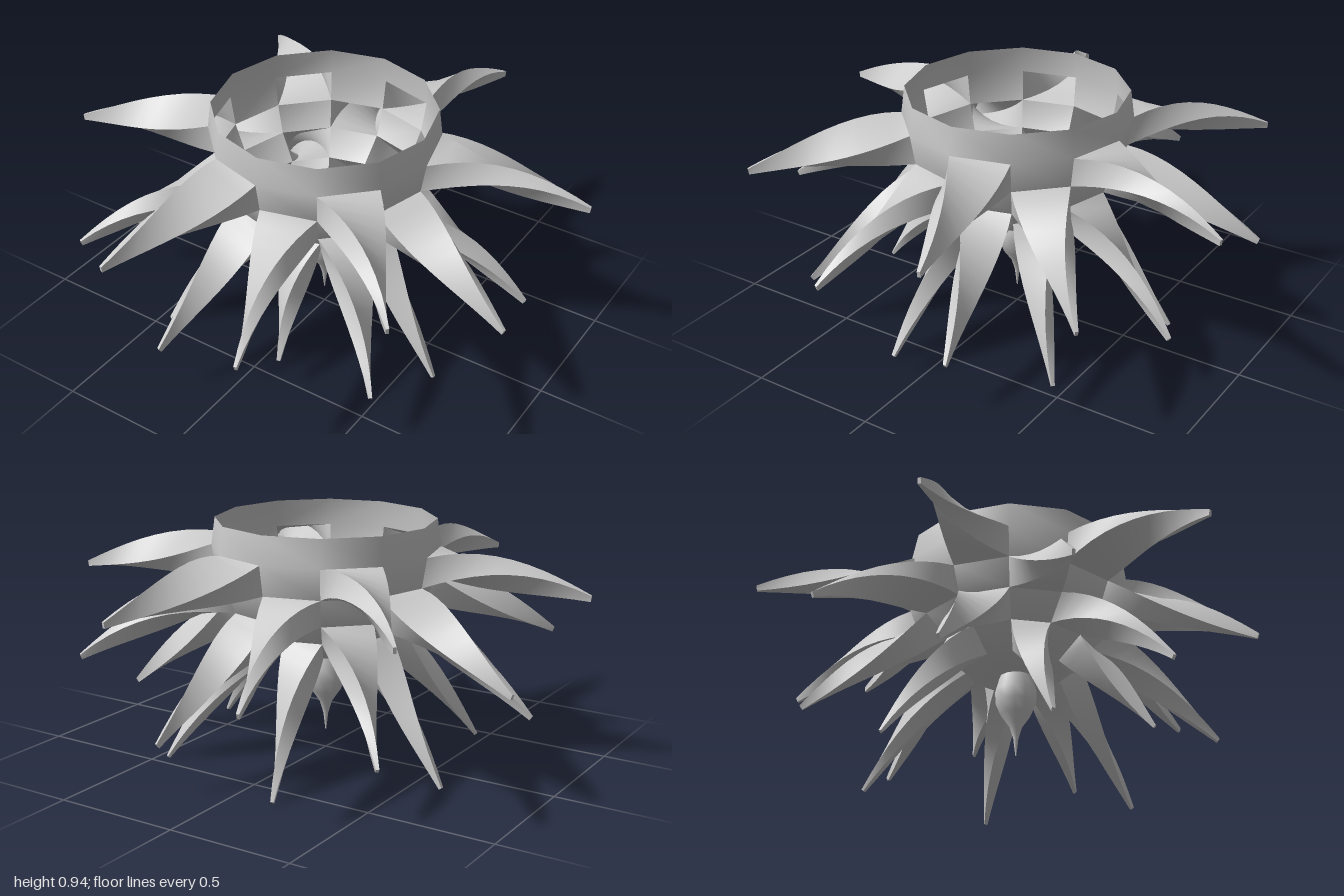
import * as THREE from 'three';

const SIDES = 12;
const STEP = (Math.PI * 2) / SIDES;
// Bowl profile from rim to bottom: [radius, height]
const PROFILE = [[0.435, 0.95], [0.45, 0.84], [0.43, 0.72], [0.39, 0.61], [0.30, 0.52], [0.2, 0.435], [0.065, 0.41]];
// Spike rows: bowl row they grow from, tip radius and height, which sides they use, twist
const ROWS = [
  { band: 1, tip: [1.035, 0.7], parity: 0, twist: -Math.PI / 2, lift: 0.05 },
  { band: 2, tip: [0.963, 0.445], parity: 1, twist: Math.PI / 2, lift: 0.06 },
  { band: 3, tip: [0.83, 0.21], parity: 0, twist: -Math.PI / 2, lift: 0.06 },
  { band: 4, tip: [0.64, 0.01], parity: 1, twist: Math.PI / 2, lift: 0.05 },
];
const SHORT_SIDE = 9; // one spike of the lowest row is shorter

const material = new THREE.MeshStandardMaterial({ color: 0xcccccc, side: THREE.DoubleSide });

const polar = (r, y, a) => new THREE.Vector3(r * Math.cos(a), y, -r * Math.sin(a));
const ringPoint = (level, side) => polar(PROFILE[level][0], PROFILE[level][1], side * STEP);

function toGeometry(points, index) {
  const g = new THREE.BufferGeometry().setFromPoints(points);
  g.setIndex(index);
  g.computeVertexNormals();
  return g;
}

// Faceted bowl wall, left open wherever a spike grows out of it
function bowlGeometry() {
  const points = [], index = [];
  PROFILE.forEach((_, level) => {
    for (let s = 0; s < SIDES; s++) points.push(ringPoint(level, s));
  });
  for (let band = 0; band < PROFILE.length - 1; band++) {
    const row = ROWS.find((r) => r.band === band);
    for (let s = 0; s < SIDES; s++) {
      if (row && s % 2 === row.parity) continue;
      const n = (s + 1) % SIDES;
      const a = band * SIDES + s, b = a + SIDES;
      const d = band * SIDES + n, c = d + SIDES;
      index.push(a, b, c, a, c, d);
    }
  }
  return toGeometry(points, index);
}

// Four-sided spike that starts on a bowl panel, droops, twists and tapers
function spikeGeometry(row, side) {
  const { band, twist, lift } = row;
  const corners = [ringPoint(band, side), ringPoint(band + 1, side), ringPoint(band + 1, side + 1), ringPoint(band, side + 1)];
  const base = corners.reduce((sum, p) => sum.add(p), new THREE.Vector3()).multiplyScalar(0.25);
  const [tipR, tipY] = band === 4 && side === SHORT_SIDE ? [0.55, 0.13] : row.tip;
  const tip = polar(tipR, tipY, (side + 0.5) * STEP);
  const control = base.clone().lerp(tip, 0.5);
  control.y += lift;
  const path = new THREE.QuadraticBezierCurve3(base, control, tip);
  const axis = tip.clone().sub(base).normalize();
  const N = 10;
  const rings = [];
  for (let i = 0; i <= N; i++) {
    const t = i / N;
    const centre = path.getPoint(t);
    rings.push(corners.map((p) => p.clone().sub(base)
      .applyAxisAngle(axis, twist * t).multiplyScalar(1 - 0.9 * t).add(centre)));
  }
  const points = [], index = [];
  // Each side has its own vertices, so the long edges stay sharp
  for (let k = 0; k < 4; k++) {
    const o = points.length;
    rings.forEach((ring) => points.push(ring[k].clone(), ring[(k + 1) % 4].clone()));
    for (let i = 0; i < N; i++) {
      const a = o + i * 2;
      index.push(a, a + 1, a + 2, a + 1, a + 3, a + 2);
    }
  }
  const cap = points.length;
  points.push(...rings[N].map((p) => p.clone()));
  index.push(cap, cap + 1, cap + 2, cap, cap + 2, cap + 3);
  return toGeometry(points, index);
}

export function createModel() {
  const group = new THREE.Group();
  const add = (geometry, name, parent = group) => {
    const mesh = new THREE.Mesh(geometry, material);
    mesh.name = name;
    parent.add(mesh);
    return mesh;
  };

  add(bowlGeometry(), 'bowl');

  // Staggered rows of spikes
  ROWS.forEach((row, r) => {
    const rowGroup = new THREE.Group();
    rowGroup.name = `spikeRow${r + 1}`;
    for (let s = row.parity; s < SIDES; s += 2) add(spikeGeometry(row, s), 'spike', rowGroup);
    group.add(rowGroup);
  });

  // Drop-shaped finial under the bowl
  const drop = [[0.002, 0.08], [0.01, 0.15], [0.025, 0.2], [0.06, 0.25], [0.08, 0.3], [0.082, 0.35], [0.065, 0.41]];
  add(new THREE.LatheGeometry(drop.map(([x, y]) => new THREE.Vector2(x, y)), SIDES), 'finial');

  return group;
}
